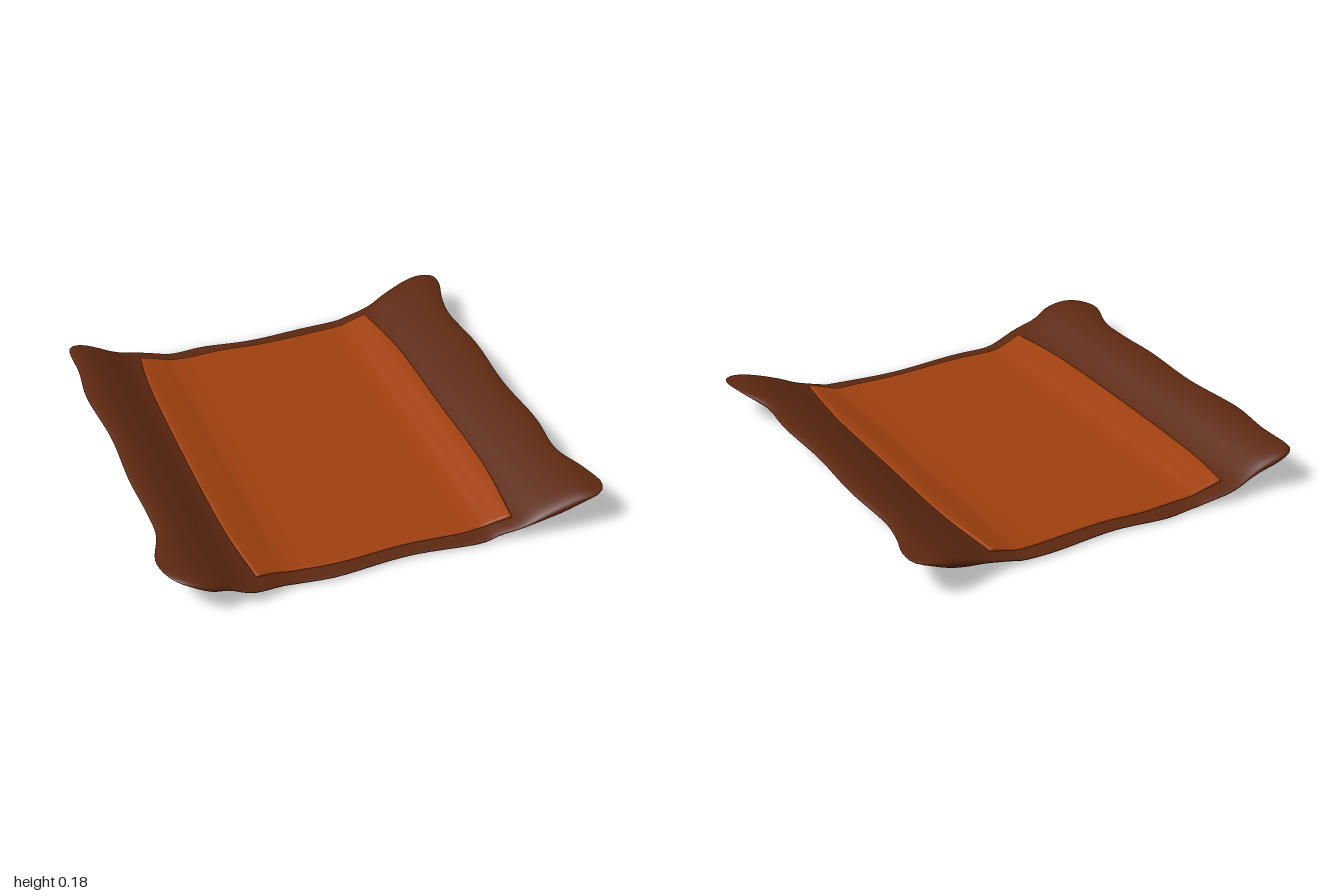
import * as THREE from 'three';

const V = (p) => new THREE.Vector2(p[0], p[1]);

// Height as a smooth function of x through a few [x, y] points
function profile(points) {
  const s = new THREE.SplineCurve(points.map(V)).getPoints(200);
  return (x) => {
    if (x <= s[0].x) return s[0].y;
    for (let i = 1; i < s.length; i++) {
      if (x <= s[i].x) {
        const k = (x - s[i - 1].x) / (s[i].x - s[i - 1].x);
        return s[i - 1].y + k * (s[i].y - s[i - 1].y);
      }
    }
    return s[s.length - 1].y;
  };
}

// Closed sheet: rings of a clockwise outline, top surface out to the rim, then back underneath
function sheet(outline, top, bottom, sharpness, rings = 32) {
  const n = outline.length, pos = [], idx = [];
  for (let r = 0; r <= 2 * rings; r++) {
    const t = Math.sin((Math.PI / 2) * (1 - Math.abs(r - rings) / rings));
    const f = Math.sqrt(Math.max(0, 1 - t ** sharpness)) * (r <= rings ? 1 : -1);
    for (const p of outline) {
      const x = p.x * t, hi = top(x), lo = bottom(x);
      pos.push(x, (hi + lo) / 2 + (f * (hi - lo)) / 2, p.y * t);
    }
  }
  for (let r = 0; r < 2 * rings; r++) {
    for (let j = 0; j < n; j++) {
      const k = (j + 1) % n, a = r * n, b = a + n;
      if (r > 0) idx.push(a + j, a + k, b + k);
      if (r < 2 * rings - 1) idx.push(a + j, b + k, b + j);
      else idx.pop(), idx.pop(), idx.pop(), idx.push(a + j, a + k, b + j);
    }
  }
  const g = new THREE.BufferGeometry();
  g.setAttribute('position', new THREE.Float32BufferAttribute(pos, 3));
  g.setIndex(idx);
  g.computeVertexNormals();
  return g;
}

export function createModel() {
  const group = new THREE.Group();
  const add = (name, geometry, color) => {
    const mesh = new THREE.Mesh(geometry, new THREE.MeshStandardMaterial({ color }));
    mesh.name = name;
    group.add(mesh);
  };

  // Cross-sections along x: flat in the middle, curling up at both sides
  const baseBottom = profile([[-1, 0.168], [-0.9, 0.13], [-0.8, 0.09], [-0.7, 0.058], [-0.6, 0.035],
    [-0.48, 0.012], [-0.38, 0], [0, 0], [0.4, 0], [0.5, 0.014], [0.6, 0.038], [0.7, 0.06],
    [0.8, 0.088], [0.9, 0.13], [1, 0.17]]);
  const baseTop = profile([[-1, 0.18], [-0.9, 0.178], [-0.8, 0.145], [-0.72, 0.105], [-0.64, 0.07],
    [-0.52, 0.042], [-0.4, 0.022], [0, 0.022], [0.4, 0.022], [0.52, 0.045], [0.62, 0.072],
    [0.7, 0.112], [0.8, 0.152], [0.9, 0.179], [1, 0.18]]);
  const padTop = profile([[-0.66, 0.084], [-0.6, 0.075], [-0.5, 0.048], [-0.4, 0.03], [0, 0.03],
    [0.4, 0.03], [0.5, 0.05], [0.58, 0.075], [0.65, 0.083]]);
  const padBottom = (x) => baseTop(x) - 0.006;

  // Wavy rim of the base, clockwise from the back left corner as [x, z]
  const rim = [
    [-0.945, -0.9], [-0.93, -0.945], [-0.88, -0.965], [-0.74, -0.95], [-0.6, -0.963], [-0.42, -0.945],
    [-0.27, -0.957], [-0.02, -0.93], [0.3, -0.95], [0.62, -0.955], [0.75, -0.985], [0.89, -1],
    [0.975, -0.965], [0.985, -0.88], [0.95, -0.76], [0.925, -0.62], [0.94, -0.3], [0.925, 0.05],
    [0.94, 0.38], [0.925, 0.62], [0.975, 0.8], [0.995, 0.93], [0.96, 0.985], [0.84, 0.99],
    [0.6, 0.965], [0.5, 0.95], [0.42, 0.955], [0.1, 0.925], [-0.26, 0.95], [-0.46, 0.94],
    [-0.64, 0.98], [-0.74, 0.967], [-0.83, 0.985], [-0.95, 0.93], [-1, 0.8], [-0.945, 0.6],
    [-0.94, 0.45], [-0.95, 0.2], [-0.94, -0.15], [-0.965, -0.5], [-0.945, -0.72],
  ];
  const rimCurve = new THREE.CatmullRomCurve3(rim.map(([x, z]) => new THREE.Vector3(x, z, 0)), true);
  const rimPoints = rimCurve.getSpacedPoints(240).slice(0, -1);
  add('base', sheet(rimPoints, baseTop, baseBottom, 30), 0x5c2810);

  // Inlaid panel: four gently waving edges that meet at sharp corners
  const edges = [
    [[-0.6, -0.88], [-0.36, -0.87], [-0.2, -0.877], [0.04, -0.862], [0.4, -0.88], [0.58, -0.88]],
    [[0.58, -0.88], [0.62, -0.52], [0.622, 0], [0.622, 0.5], [0.585, 0.89]],
    [[0.585, 0.89], [0.45, 0.87], [0.35, 0.872], [0.1, 0.86], [-0.2, 0.877], [-0.45, 0.865], [-0.595, 0.89]],
    [[-0.595, 0.89], [-0.63, 0.55], [-0.637, 0], [-0.628, -0.6], [-0.6, -0.88]],
  ];
  const padPoints = edges.flatMap((e) => new THREE.SplineCurve(e.map(V)).getSpacedPoints(50).slice(0, -1));
  add('innerPanel', sheet(padPoints, padTop, padBottom, 200), 0xa0400f);

  return group;
}
